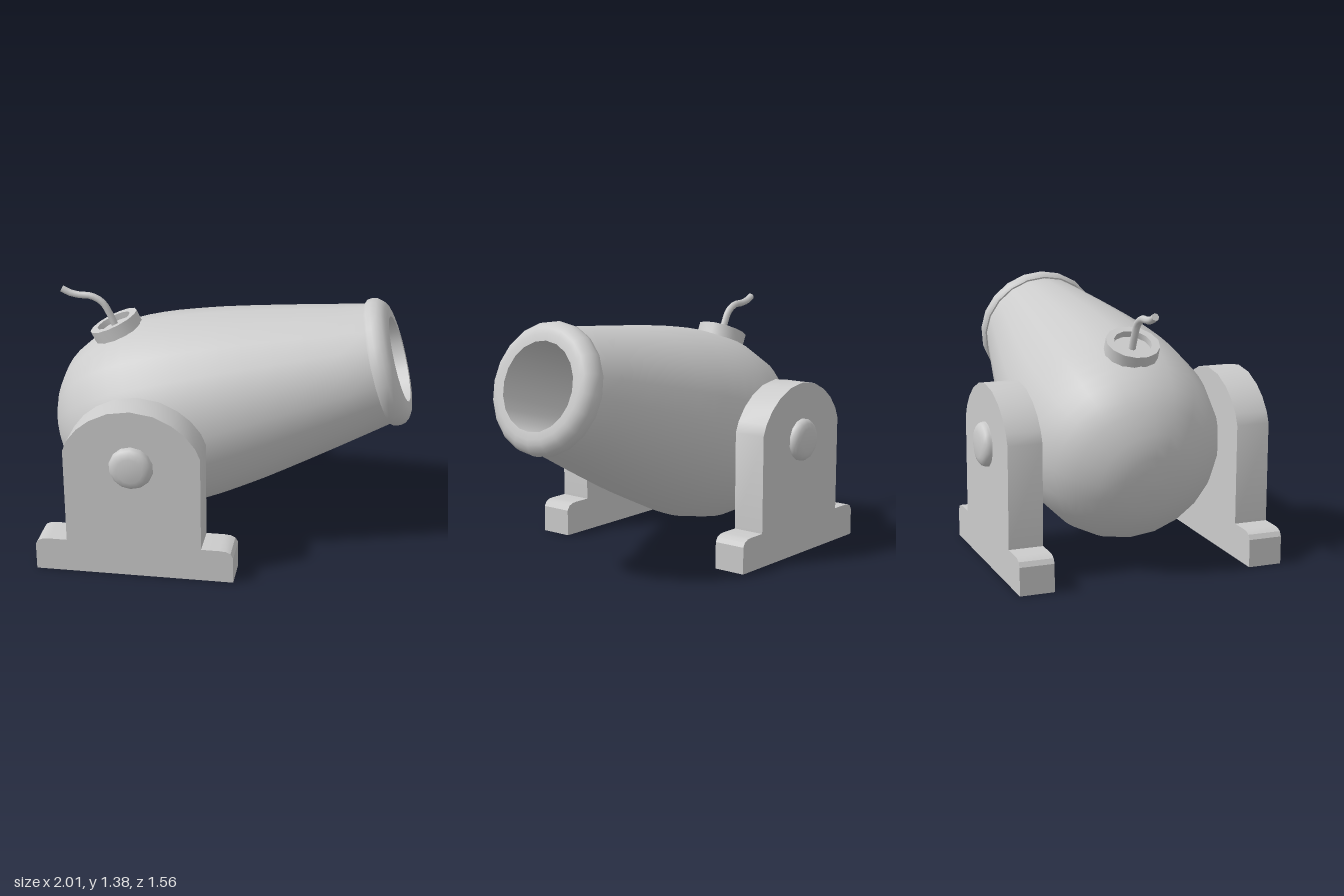
import * as THREE from 'three';
import { toCreasedNormals } from 'three/addons/utils/BufferGeometryUtils.js';

const material = new THREE.MeshStandardMaterial({ color: 0xcccccc, side: THREE.DoubleSide });
const PIVOT = [-0.44, 0.65, 0];
const TILT = THREE.MathUtils.degToRad(16.7);

const vectors = (pts) => pts.map(([x, y]) => new THREE.Vector2(x, y));

function part(name, geometry) {
  const mesh = new THREE.Mesh(geometry, material);
  mesh.name = name;
  return mesh;
}

// Turned part from [radius, height] points, with sharp corners kept
function turned(name, pts, sides) {
  return part(name, toCreasedNormals(new THREE.LatheGeometry(vectors(pts), sides), 0.65));
}

// Side plate outline extruded, with its underside left open
function bracketGeometry() {
  const half = [
    [0.545, 0], [0.545, 0.15], [0.53, 0.175], [0.505, 0.187], [0.47, 0.19], [0.37, 0.19],
    [0.37, 0.73], [0.345, 0.79], [0.29, 0.86], [0.22, 0.915], [0.12, 0.962],
  ];
  const outline = [...half, [0, 0.98], ...half.map(([x, y]) => [-x, y]).reverse()];
  const solid = new THREE.ExtrudeGeometry(new THREE.Shape(vectors(outline)), {
    depth: 0.185, bevelEnabled: false,
  }).toNonIndexed();
  const p = solid.attributes.position;
  const kept = [];
  for (let i = 0; i < p.count; i += 3) {
    if (Math.max(p.getY(i), p.getY(i + 1), p.getY(i + 2)) < 1e-5) continue;
    for (let k = i; k < i + 3; k++) kept.push(p.getX(k), p.getY(k), p.getZ(k));
  }
  const open = new THREE.BufferGeometry();
  open.setAttribute('position', new THREE.Float32BufferAttribute(kept, 3));
  return toCreasedNormals(open, 0.5);
}

export function createModel() {
  const model = new THREE.Group();
  model.name = 'cannon';

  // Barrel: rounded breech, tapering body
  const barrel = new THREE.Group();
  barrel.name = 'barrel';
  barrel.position.set(...PIVOT);
  barrel.rotation.z = TILT - Math.PI / 2;
  const bodyCurve = new THREE.SplineCurve(vectors([
    [0, -0.565], [0.12, -0.552], [0.24, -0.515], [0.36, -0.435], [0.45, -0.335],
    [0.515, -0.19], [0.545, 0], [0.54, 0.2], [0.515, 0.4], [0.482, 0.6],
    [0.412, 0.95], [0.335, 1.31],
  ]));
  const profile = bodyCurve.getPoints(24).map((v) => [Math.max(v.x, 0), v.y]);
  barrel.add(turned('barrelBody', profile, 20));

  // Muzzle ring continuing into the bore and its flat end
  barrel.add(turned('muzzleAndBore', [
    [0.32, 1.305], [0.345, 1.305], [0.356, 1.32], [0.358, 1.345], [0.35, 1.375],
    [0.332, 1.398], [0.308, 1.413], [0.28, 1.42], [0.24, 1.42], [0.24, 0.32], [0, 0.32],
  ], 20));
  model.add(barrel);

  // Touch hole collar on top of the breech
  const collar = turned('touchHoleCollar', [
    [0.143, -0.12], [0.143, 0], [0.1, 0], [0.1, -0.035], [0, -0.035],
  ], 14);
  collar.position.set(-0.677, 1.192, 0);
  collar.rotation.z = THREE.MathUtils.degToRad(25);
  model.add(collar);

  // Fuse with a closed tip
  const fuse = new THREE.Group();
  fuse.name = 'fuse';
  const path = new THREE.CatmullRomCurve3([
    [-0.655, 1.13], [-0.69, 1.215], [-0.735, 1.295], [-0.795, 1.33],
    [-0.87, 1.335], [-0.92, 1.345], [-0.965, 1.367],
  ].map(([x, y]) => new THREE.Vector3(x, y, 0)));
  fuse.add(part('fuseCord', new THREE.TubeGeometry(path, 16, 0.02, 8)));
  const tip = part('fuseTip', new THREE.CircleGeometry(0.02, 8));
  tip.position.copy(path.getPoint(1));
  tip.lookAt(path.getPoint(1).add(path.getTangent(1)));
  fuse.add(tip);
  model.add(fuse);

  // Axle through the barrel
  const axle = part('axle', new THREE.CylinderGeometry(0.052, 0.052, 1.2, 12));
  axle.position.set(-0.44, 0.66, 0);
  axle.rotation.x = Math.PI / 2;
  model.add(axle);

  // Side brackets and domed axle caps
  const bracket = bracketGeometry();
  for (const [side, s] of [['left', 1], ['right', -1]]) {
    const plate = part(side + 'Bracket', bracket);
    plate.position.set(-0.44, 0, s > 0 ? 0.545 : -0.73);
    model.add(plate);

    const cap = turned(side + 'AxleCap', [
      [0.12, -0.01], [0.12, 0.01], [0.112, 0.028], [0.096, 0.042], [0.07, 0.049], [0, 0.052],
    ], 14);
    cap.position.set(-0.44, 0.658, s * 0.73);
    cap.rotation.x = s * Math.PI / 2;
    model.add(cap);
  }
  return model;
}
